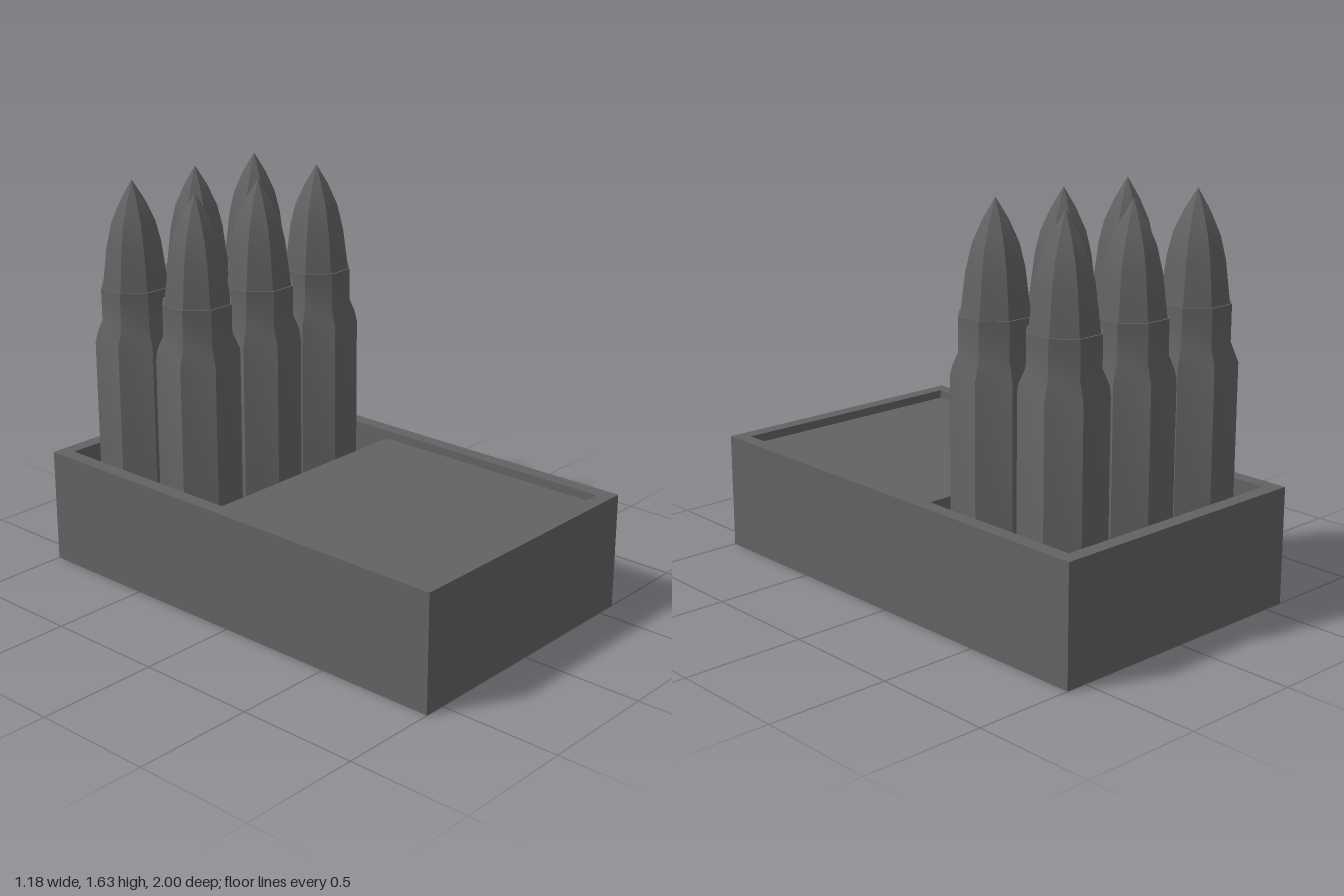
import * as THREE from 'three';
import { toCreasedNormals } from 'three/addons/utils/BufferGeometryUtils.js';

const material = new THREE.MeshStandardMaterial({ color: 0x626262 });

function addMesh(parent, name, geometry, x = 0, y = 0, z = 0) {
  const mesh = new THREE.Mesh(geometry, material);
  mesh.name = name;
  mesh.position.set(x, y, z);
  parent.add(mesh);
}

function rectangle(PathType, w, d) {
  return new PathType([[-w, -d], [w, -d], [w, d], [-w, d]].map(([x, y]) => new THREE.Vector2(x, y)));
}

// Eight-sided lathe with flats facing the x and z axes; profile is [apothem, y].
// Facets stay sharp around the axis and blend smoothly along it.
function octagonLathe(profile) {
  const k = 1 / Math.cos(Math.PI / 8);
  const points = profile.map(([a, y]) => new THREE.Vector2(a * k, y));
  return toCreasedNormals(new THREE.LatheGeometry(points, 8, Math.PI / 8), Math.PI / 6);
}

export function createModel() {
  const model = new THREE.Group();
  model.name = 'cartridgeBox';

  const floorTop = 0.06, rimTop = 0.48;
  const halfWidth = 0.588, innerX = 0.528, innerZ = 0.94;

  // Open tray: floor and four walls
  const outline = rectangle(THREE.Shape, halfWidth, 1);
  const floor = new THREE.ExtrudeGeometry(outline, { depth: floorTop, bevelEnabled: false });
  addMesh(model, 'trayFloor', floor.rotateX(-Math.PI / 2));

  const wallShape = rectangle(THREE.Shape, halfWidth, 1);
  wallShape.holes.push(rectangle(THREE.Path, innerX, innerZ));
  const walls = new THREE.ExtrudeGeometry(wallShape, { depth: rimTop - floorTop, bevelEnabled: false });
  addMesh(model, 'trayWalls', walls.rotateX(-Math.PI / 2), 0, floorTop, 0);

  // Block filling the front of the tray, just below the rim
  const fillTop = 0.445, fillBack = -0.132;
  addMesh(model, 'frontBlock',
    new THREE.BoxGeometry(innerX * 2, fillTop - floorTop, innerZ - fillBack),
    0, (fillTop + floorTop) / 2, (innerZ + fillBack) / 2);

  // Cartridges: shouldered case and pointed bullet
  const caseGeometry = octagonLathe([
    [0, floorTop], [0.164, floorTop], [0.164, 0.985], [0.134, 1.06], [0.134, 1.205], [0.12, 1.205],
  ]);
  const bulletGeometry = octagonLathe([
    [0.127, 1.205], [0.107, 1.37], [0.086, 1.46], [0.047, 1.55], [0, 1.633],
  ]);
  for (const z of [-0.37, -0.725]) {
    for (const x of [-0.347, 0, 0.345]) {
      const cartridge = new THREE.Group();
      cartridge.name = 'cartridge';
      cartridge.position.set(x, 0, z);
      addMesh(cartridge, 'case', caseGeometry);
      addMesh(cartridge, 'bullet', bulletGeometry);
      model.add(cartridge);
    }
  }

  return model;
}
